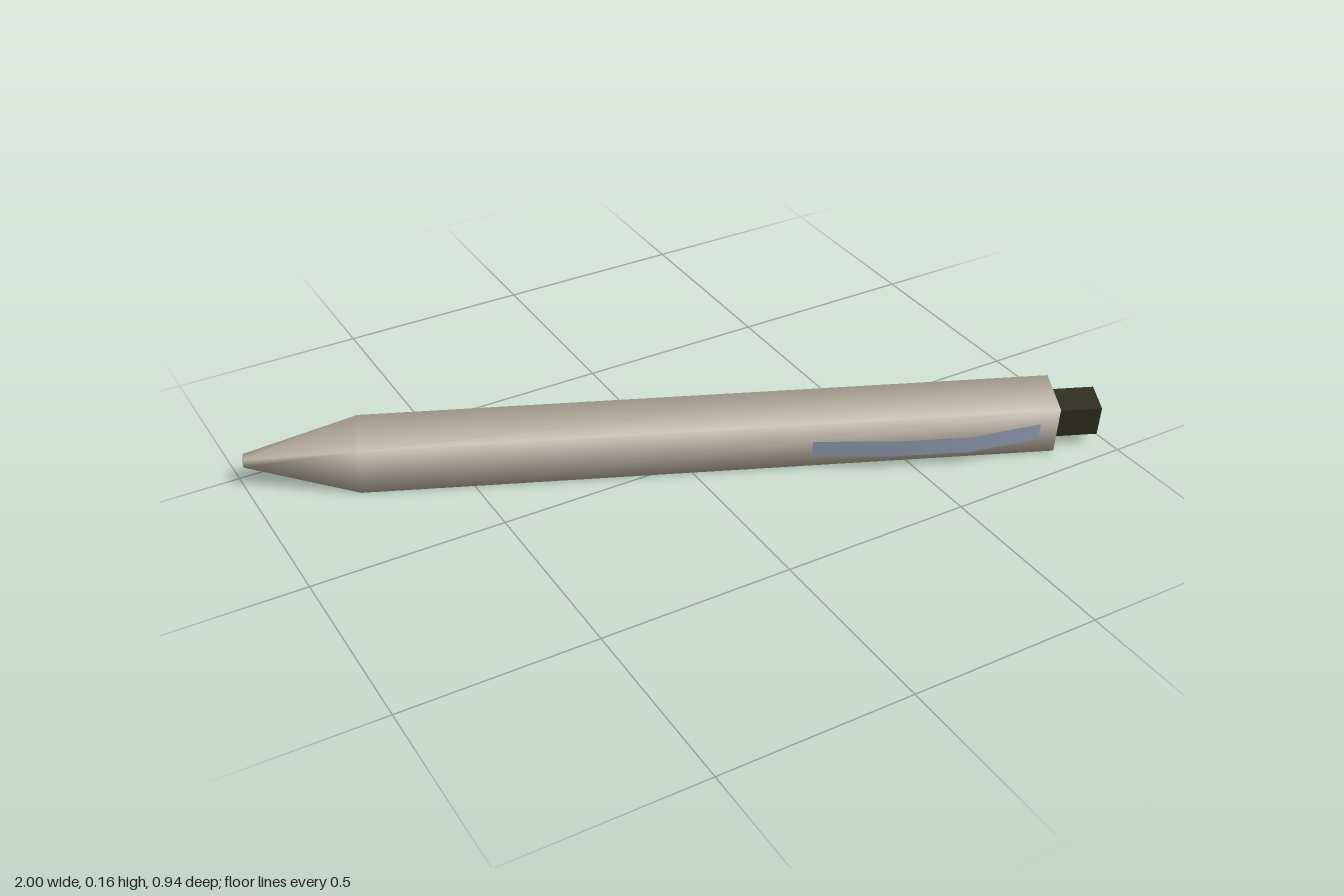
import * as THREE from 'three';

const SIDES = 4; // the barrel is a smooth-shaded square section
const TIP = new THREE.Vector3(-0.994, 0.082, -0.459);
const REAR = new THREE.Vector3(0.873, 0.087, 0.372);
const ROLL = THREE.MathUtils.degToRad(8);

export function createModel() {
  const barrelMat = new THREE.MeshStandardMaterial({ color: 0xc0b8a7 });
  barrelMat.name = 'warm grey';
  const buttonMat = new THREE.MeshStandardMaterial({ color: 0x2e2e1e });
  buttonMat.name = 'dark olive';
  const clipMat = new THREE.MeshStandardMaterial({ color: 0x98a1b8, side: THREE.DoubleSide });
  clipMat.name = 'blue grey';

  const pen = new THREE.Group();
  pen.name = 'pen';
  const add = (name, geometry, material) => {
    const mesh = new THREE.Mesh(geometry, material);
    mesh.name = name;
    pen.add(mesh);
    return mesh;
  };

  // Local frame: +y runs from the writing tip to the button, +z is the clip side
  const length = REAR.distanceTo(TIP);
  const radius = 0.0972, tipRadius = 0.017;

  // Tapered tip and barrel in one smooth skin
  const profile = [[tipRadius, 0], [radius, 0.285], [radius, length]]
    .map(([r, y]) => new THREE.Vector2(r, y));
  add('barrel', new THREE.LatheGeometry(profile, SIDES, Math.PI / 4), barrelMat);

  // End caps
  const cap = (name, r, y, turn) => {
    const g = new THREE.CircleGeometry(r, SIDES, Math.PI / 4);
    add(name, g.rotateX(turn), barrelMat).position.y = y;
  };
  cap('rearCap', radius, length, -Math.PI / 2);
  cap('tipCap', tipRadius, 0, Math.PI / 2);

  // Push button
  add('pushButton', new THREE.BoxGeometry(0.086, 0.137, 0.086), buttonMat)
    .position.y = length + 0.0485;

  // Bowed pocket clip: [distance from tip, height above axis], rear end first
  const path = [[2.015, 0.066], [1.99, 0.07], [1.813, 0.102], [1.62, 0.101], [1.413, 0.083]];
  const clip = new THREE.PlaneGeometry(0.05, 1, 1, path.length - 1);
  const pos = clip.attributes.position;
  for (let i = 0; i < pos.count; i++) {
    const [y, z] = path[Math.floor(i / 2)];
    pos.setXYZ(i, pos.getX(i), y, z);
  }
  clip.computeVertexNormals();
  add('clip', clip, clipMat);

  // Lay the pen down diagonally, rolled a little about its axis
  const axis = REAR.clone().sub(TIP).normalize();
  const side = new THREE.Vector3(0, -1, 0).addScaledVector(axis, axis.y).normalize();
  const front = side.clone().cross(axis).normalize();
  const m = new THREE.Matrix4().makeBasis(side, axis, front);
  pen.quaternion.setFromRotationMatrix(m);
  pen.rotateY(ROLL);
  pen.position.copy(TIP);

  const model = new THREE.Group();
  model.name = 'ballpointPen';
  model.add(pen);
  return model;
}
